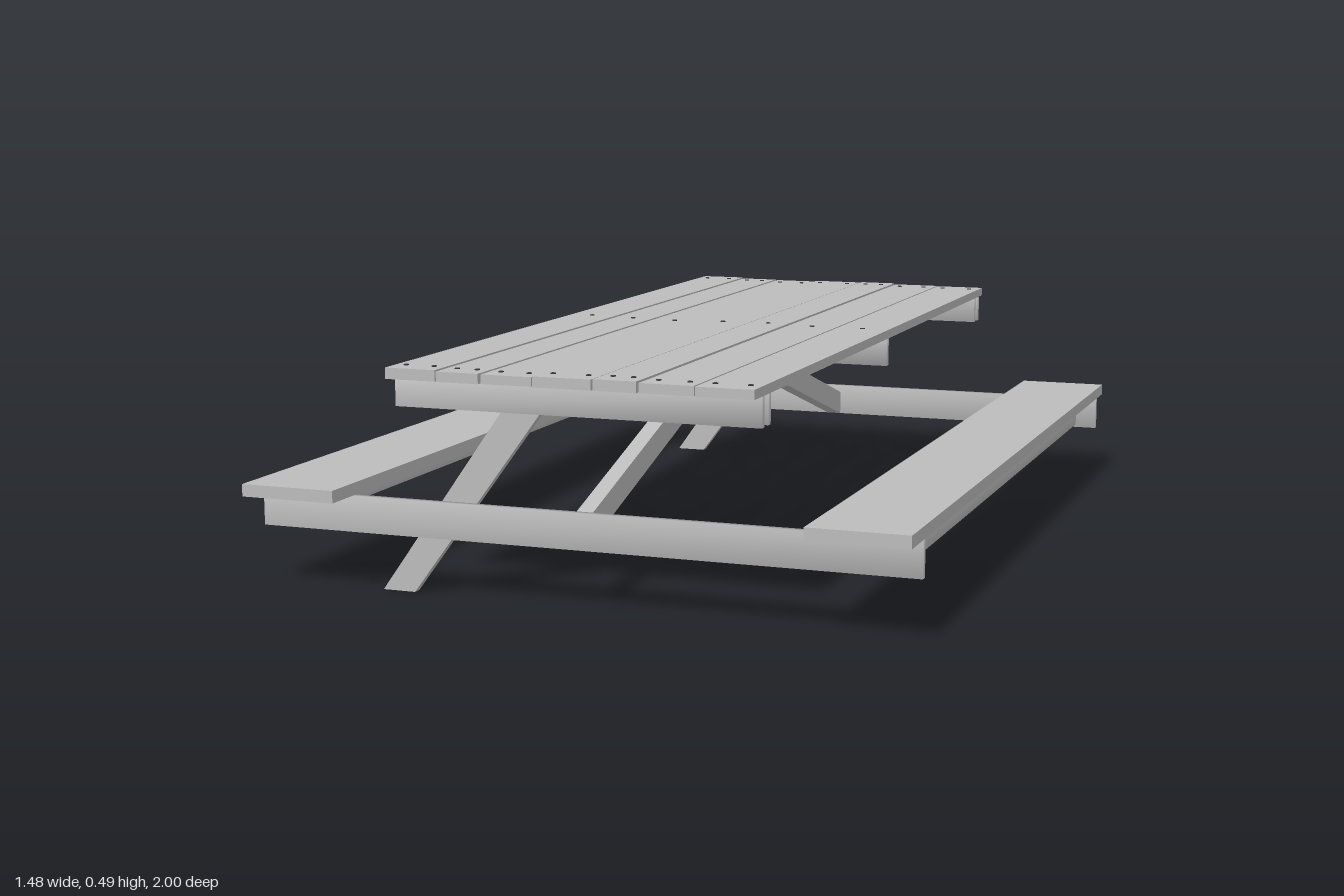
import * as THREE from 'three';
import { mergeVertices } from 'three/addons/utils/BufferGeometryUtils.js';

const grey = new THREE.MeshStandardMaterial({ color: 0xbcbcbc });
grey.name = 'weathered grey';
const dark = new THREE.MeshStandardMaterial({ color: 0x3a3a3a });
dark.name = 'dark screw';

// Box given by its limits on each axis
function board(name, [x0, x1], [y0, y1], [z0, z1], soft = false) {
  let geo = new THREE.BoxGeometry(x1 - x0, y1 - y0, z1 - z0);
  if (soft) geo = soften(geo);
  const mesh = new THREE.Mesh(geo, grey);
  mesh.name = name;
  mesh.position.set((x0 + x1) / 2, (y0 + y1) / 2, (z0 + z1) / 2);
  return mesh;
}

// Shared corners give the timbers a worn, rounded shading
function soften(geo) {
  geo.deleteAttribute('normal');
  geo.deleteAttribute('uv');
  const merged = mergeVertices(geo);
  merged.computeVertexNormals();
  return merged;
}

// Flat outline extruded to a thickness centred on its plane
function slab(name, points, thickness) {
  const shape = new THREE.Shape(points.map(([a, b]) => new THREE.Vector2(a, b)));
  const geo = new THREE.ExtrudeGeometry(shape, { depth: thickness, bevelEnabled: false });
  geo.translate(0, 0, -thickness / 2);
  const mesh = new THREE.Mesh(geo, grey);
  mesh.name = name;
  return mesh;
}

export function createModel() {
  const model = new THREE.Group();
  model.name = 'picnicTable';

  // Table top: seven planks of uneven width, with screws
  const edges = [-0.415, -0.296, -0.196, -0.078, 0.055, 0.154, 0.276, 0.405];
  const top = new THREE.Group();
  top.name = 'tableTop';
  const screwGeo = new THREE.CylinderGeometry(0.006, 0.006, 0.004, 8);
  const screw = (x, y, z) => {
    const mesh = new THREE.Mesh(screwGeo, dark);
    mesh.name = 'screw';
    mesh.position.set(x, y, z);
    top.add(mesh);
  };
  for (let i = 0; i < 7; i++) {
    const a = edges[i] + 0.002, b = edges[i + 1] - 0.002;
    const shift = 0.003 * Math.sin(i * 2.3);
    const height = 0.49 + 0.002 * Math.cos(i * 1.7);
    top.add(board('plank', [a, b], [0.468, height], [-0.972 + shift, 0.953 + shift]));
    for (const z of [-0.922, 0.905]) {
      screw(a + 0.025, height, z);
      screw(b - 0.025, height, z);
    }
    screw((a + b) / 2, height, -0.01);
  }
  model.add(top);

  // Bearer under the middle of the top
  model.add(board('middleBearer', [-0.41, 0.405], [0.405, 0.468], [-0.012, 0.006], true));

  for (const s of [-1, 1]) {
    const span = (a, b) => (s > 0 ? [a, b] : [-b - 0.012, -a - 0.012]);

    // Bearers clasping the leg at each end of the top
    model.add(board('outerBearer', [-0.41, 0.405], [0.405, 0.468], span(0.9, 0.916), true));
    model.add(board('innerBearer', [-0.41, 0.405], [0.405, 0.468], span(0.861, 0.875), true));

    // Long low beam carrying both benches
    model.add(board('benchBeam', [-0.738, 0.738], [0.125, 0.204], span(0.898, 0.914), true));

    // Single slanting leg at each end
    const leg = slab('leg', [[-0.46, 0], [-0.385, 0], [-0.038, 0.468], [-0.128, 0.468]], 0.02);
    leg.position.z = s > 0 ? 0.887 : -0.888;
    model.add(leg);

    // Diagonal brace from the middle bearer down to the low beam
    const brace = slab('brace', [[0, 0.468], [0, 0.408], [0.9, 0.127], [0.9, 0.187]], 0.037);
    brace.rotation.y = -s * Math.PI / 2;
    model.add(brace);

    // Bench seat and the rail below it
    const x = (a, b) => (s > 0 ? [a, b] : [-b, -a]);
    model.add(board('benchSeat', x(0.52, 0.738), [0.204, 0.231], [-1, 1]));
    model.add(board('benchRail', x(0.66, 0.685), [0.132, 0.204], [-0.91, 0.9], true));
  }
  return model;
}
